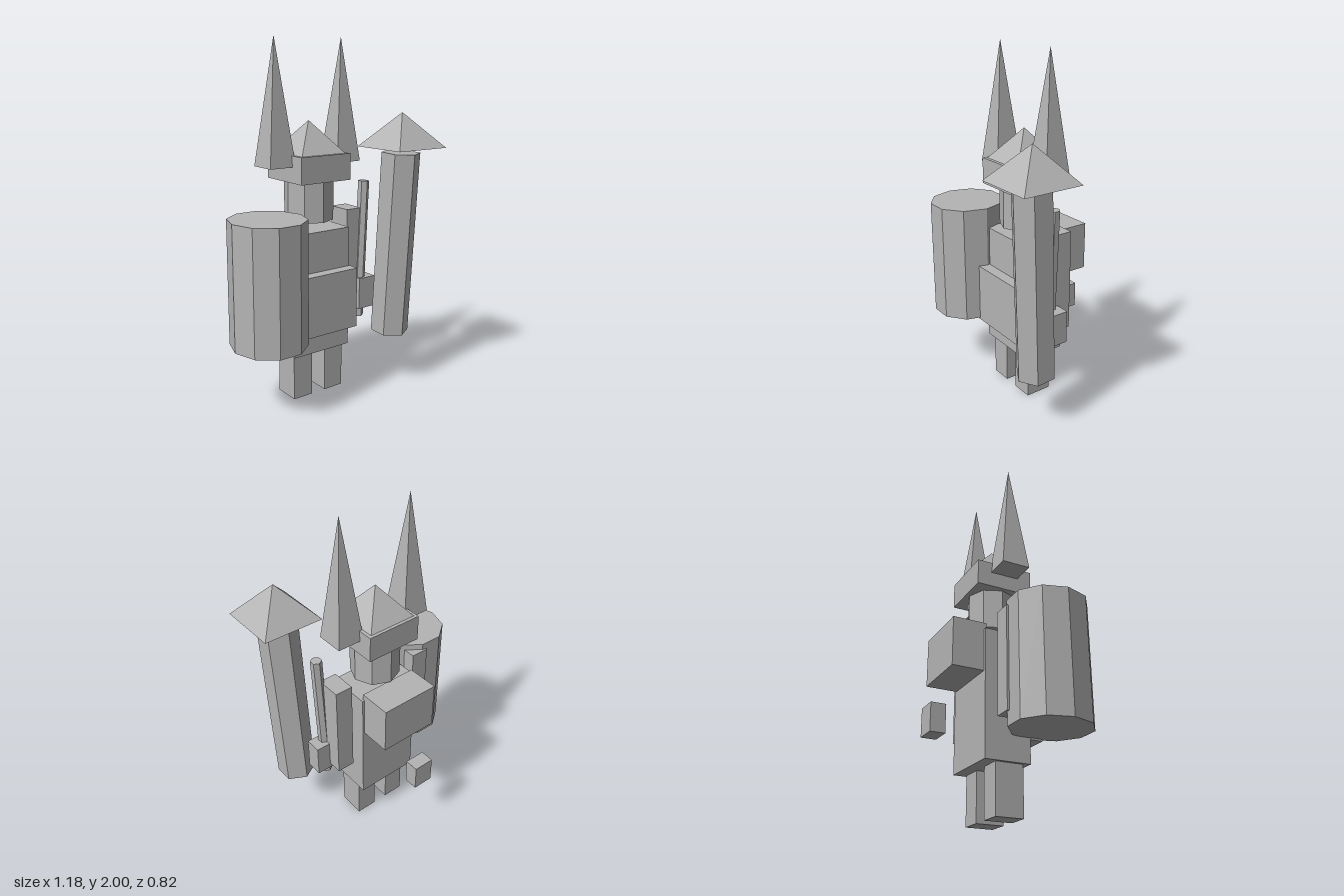
import * as THREE from 'three';

export function createModel() {
  const root = new THREE.Group();
  root.name = 'blockFigure';
  const grey = new THREE.MeshStandardMaterial({ color: 0xb4b4b4, flatShading: true });
  grey.name = 'plain grey';

  const add = (name, geometry) => {
    const mesh = new THREE.Mesh(geometry, grey);
    mesh.name = name;
    root.add(mesh);
    return mesh;
  };

  // Box given by its limits on each axis
  const box = (name, x0, x1, y0, y1, z0, z1) =>
    add(name, new THREE.BoxGeometry(x1 - x0, y1 - y0, z1 - z0))
      .position.set((x0 + x1) / 2, (y0 + y1) / 2, (z0 + z1) / 2);

  // Square pyramid with its sides along x and z
  const pyramid = (name, x, z, half, y0, y1) => {
    const g = new THREE.ConeGeometry(half * Math.SQRT2, y1 - y0, 4);
    g.rotateY(Math.PI / 4);
    add(name, g).position.set(x, (y0 + y1) / 2, z);
  };

  // Prism running between two points
  const prism = (name, radius, sides, from, to) => {
    const a = new THREE.Vector3(...from), b = new THREE.Vector3(...to);
    const axis = b.clone().sub(a);
    const mesh = add(name, new THREE.CylinderGeometry(radius, radius, axis.length(), sides));
    mesh.position.copy(a).add(b).multiplyScalar(0.5);
    mesh.quaternion.setFromUnitVectors(new THREE.Vector3(0, 1, 0), axis.normalize());
  };

  // Body and limbs
  const cx = -0.02, cz = -0.03;
  box('torso', -0.206, 0.167, 0.265, 0.96, -0.157, 0.097);
  box('bellyPlate', -0.21, 0.174, 0.39, 0.735, 0.1, 0.165);
  for (const [side, s] of [['left', 1], ['right', -1]]) {
    const leg = cx + s * 0.106, arm = cx + s * 0.27, horn = cx + s * 0.218;
    box(side + 'Leg', leg - 0.062, leg + 0.062, 0, 0.265, -0.09, 0.063);
    box(side + 'Arm', arm - 0.052, arm + 0.052, 0.475, 1.045, -0.105, 0.04);
    pyramid(side + 'Horn', horn, cz, 0.08, 1.32, 1.995);
  }

  // Head and hat
  prism('head', 0.138, 8, [cx, 1.01, cz], [cx, 1.235, cz]);
  box('hatBrim', -0.181, 0.143, 1.235, 1.38, -0.191, 0.133);
  pyramid('hatTop', cx, cz, 0.143, 1.38, 1.555);

  // Pack and tail on the back
  box('backpack', -0.19, 0.154, 0.725, 0.995, -0.333, -0.145);
  box('tail', -0.13, -0.01, 0.385, 0.535, -0.414, -0.333);

  // Ten-sided barrel at the right hand, a little deeper than wide
  const barrel = new THREE.CylinderGeometry(0.206, 0.206, 0.68, 10, 1, false, Math.PI / 10);
  barrel.scale(1, 1, 1.065);
  add('barrel', barrel).position.set(-0.383, 0.74, 0.115);

  // Sword at the left hand
  prism('swordBlade', 0.032, 6, [0.293, 0.393, 0.031], [0.325, 1.2, 0.031]);
  box('swordHilt', 0.27, 0.384, 0.445, 0.63, -0.022, 0.072);

  // Leaning post with a pointed roof
  prism('post', 0.109, 6, [0.398, 0.33, 0.198], [0.413, 1.376, 0.241]);
  pyramid('postRoof', 0.416, 0.24, 0.171, 1.405, 1.595);

  return root;
}
